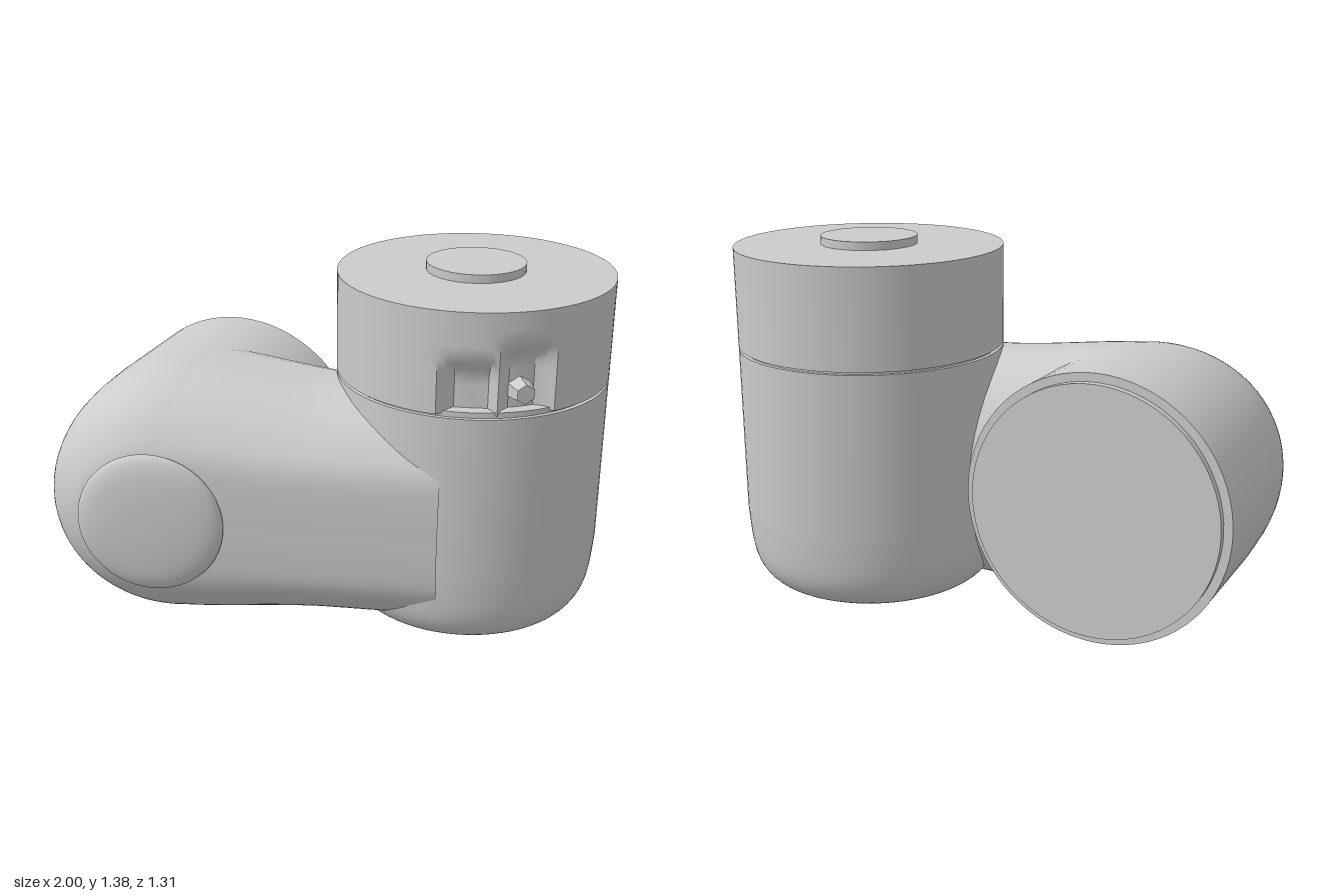
import * as THREE from 'three';
import { mergeVertices, toCreasedNormals } from 'three/addons/utils/BufferGeometryUtils.js';

const SLANT = -0.21; // slope of the front face along x
const CY = 0.502; // height of the elbow axis
const V = (p) => new THREE.Vector2(p[0], p[1]);
const smooth = (a, b, v) => THREE.MathUtils.smoothstep(v, a, b);

function finish(geometry, crease = 0.6) {
  geometry.deleteAttribute('uv');
  geometry.deleteAttribute('normal');
  const g = mergeVertices(geometry, 1e-4);
  g.computeVertexNormals();
  return toCreasedNormals(g, crease);
}

function spline(points, n) {
  return new THREE.SplineCurve(points.map(V)).getPoints(n);
}

function deform(geometry, rule) {
  const p = geometry.attributes.position;
  const v = new THREE.Vector3();
  for (let i = 0; i < p.count; i++) {
    v.fromBufferAttribute(p, i);
    rule(v);
    p.setXYZ(i, v.x, v.y, v.z);
  }
  return geometry;
}

// Rounded front profile shared by the elbow and the bridge: (radius, z)
const FRONT = spline([[0.5, 0.08], [0.49, 0.25], [0.46, 0.36], [0.41, 0.45],
  [0.34, 0.52], [0.25, 0.57], [0.12, 0.582], [0, 0.583]], 24);

// Loft of closed sections along x joining the two housings
function bridgeGeometry() {
  const positions = [], index = [];
  const steps = 28, x0 = -0.5, x1 = 0.52;
  let n = 0;
  for (let i = 0; i <= steps; i++) {
    const x = x0 + (x1 - x0) * i / steps;
    const h = 0.498 - 0.043 * smooth(-0.5, 0.1, x);
    const half = [];
    const back = -0.27;
    for (let k = 0; k < 14; k++) {
      const a = k / 14 * Math.PI / 2;
      half.push([h * Math.sin(a), 0.08 + (back - 0.08) * Math.cos(a)]);
    }
    for (const p of FRONT) half.push([p.x * h / 0.5, p.y]);
    const lower = half.slice(1, -1).reverse().map(([r, z]) => [-r, z]);
    const ring = [...half, ...lower];
    n = ring.length;
    for (const [y, z] of ring) {
      positions.push(x, CY + y, z + SLANT * (x + 0.5) * smooth(-0.1, 0.4, z));
    }
  }
  for (let i = 0; i < steps; i++) {
    for (let k = 0; k < n; k++) {
      const a = i * n + k, b = i * n + (k + 1) % n;
      index.push(a, a + n, b, b, a + n, b + n);
    }
  }
  const g = new THREE.BufferGeometry();
  g.setAttribute('position', new THREE.Float32BufferAttribute(positions, 3));
  g.setIndex(index);
  // Turn the faces outward if the ring runs the other way
  g.computeVertexNormals();
  const front = 14 + FRONT.length - 1 + Math.floor(steps / 2) * n;
  if (g.attributes.normal.getZ(front) < 0) g.setIndex(index.reverse());
  return finish(g, 1);
}

export function createModel() {
  const model = new THREE.Group();
  const material = new THREE.MeshStandardMaterial({ color: 0xcccccc, side: THREE.DoubleSide });
  const add = (name, geometry, parent = model) => {
    const mesh = new THREE.Mesh(geometry, material);
    mesh.name = name;
    parent.add(mesh);
    return mesh;
  };

  // Upright housing with a rounded foot, its cap and top flange
  const upright = new THREE.Group();
  upright.name = 'uprightJoint';
  upright.position.set(0.495, 0, -0.143);
  model.add(upright);
  const foot = spline([[0, 0.037], [0.3, 0.042], [0.39, 0.06], [0.45, 0.105],
    [0.485, 0.19], [0.5, 0.35]], 24);
  add('uprightHousing', finish(new THREE.LatheGeometry(
    [...foot, V([0.5, 0.97]), V([0, 0.97])], 72)), upright);
  add('capSeam', new THREE.CylinderGeometry(0.485, 0.485, 0.03, 72).translate(0, 0.975, 0), upright);

  // Cap with two shallow notches in its lower edge
  const wall = [];
  for (let i = 0; i <= 12; i++) wall.push(V([0.5, 0.98 + 0.368 * i / 12]));
  const cap = new THREE.LatheGeometry([V([0, 0.98]), ...wall, V([0, 1.35])], 120);
  deform(cap, (v) => {
    const r = Math.hypot(v.x, v.z);
    if (r < 0.1) return;
    const angle = THREE.MathUtils.radToDeg(Math.atan2(v.x, v.z));
    const notch = (mid, width, top) =>
      (1 - smooth(width * 0.6, width, Math.abs(angle - mid))) * (1 - smooth(top - 0.1, top, v.y));
    const depth = 0.06 * Math.max(notch(13, 12, 1.2), notch(36, 12, 1.25));
    v.x *= 1 - depth / r;
    v.z *= 1 - depth / r;
  });
  add('cap', finish(cap), upright);
  add('topFlange', finish(new THREE.CylinderGeometry(0.18, 0.18, 0.04, 48).translate(0, 1.36, 0)), upright);

  // Small six-sided plug in the cap notch
  const plug = add('cablePlug', finish(
    new THREE.CylinderGeometry(0.035, 0.05, 0.08, 6).rotateX(Math.PI / 2)), upright);
  const plugAngle = THREE.MathUtils.degToRad(35);
  plug.position.set(0.46 * Math.sin(plugAngle), 1.055, 0.46 * Math.cos(plugAngle));
  plug.rotation.y = plugAngle;

  // Sideways housing with a domed, slanted front
  const elbow = new THREE.LatheGeometry(
    [V([0, -0.3]), V([0.5, -0.3]), V([0.5, -0.1]), ...FRONT], 72).rotateX(Math.PI / 2);
  deform(elbow, (v) => {
    v.z += SLANT * v.x * smooth(-0.1, 0.4, v.z);
    v.x -= 0.5;
    v.y += CY;
  });
  add('elbowHousing', finish(elbow));
  add('rearFlange', finish(new THREE.CylinderGeometry(0.468, 0.468, 0.05, 72)
    .rotateX(Math.PI / 2).translate(-0.5, CY, -0.303)));

  add('bridge', bridgeGeometry());

  // Lens-shaped cover on the slanted face
  const lens = spline([[0.24, -0.03], [0.268, 0], [0.255, 0.022], [0.2, 0.04], [0.1, 0.05], [0, 0.052]], 20);
  const cover = add('frontCover', finish(new THREE.LatheGeometry(lens, 48).rotateX(Math.PI / 2), 1));
  cover.position.set(-0.49, 0.507, 0.583);
  cover.rotation.y = -Math.atan(SLANT);

  return model;
}
